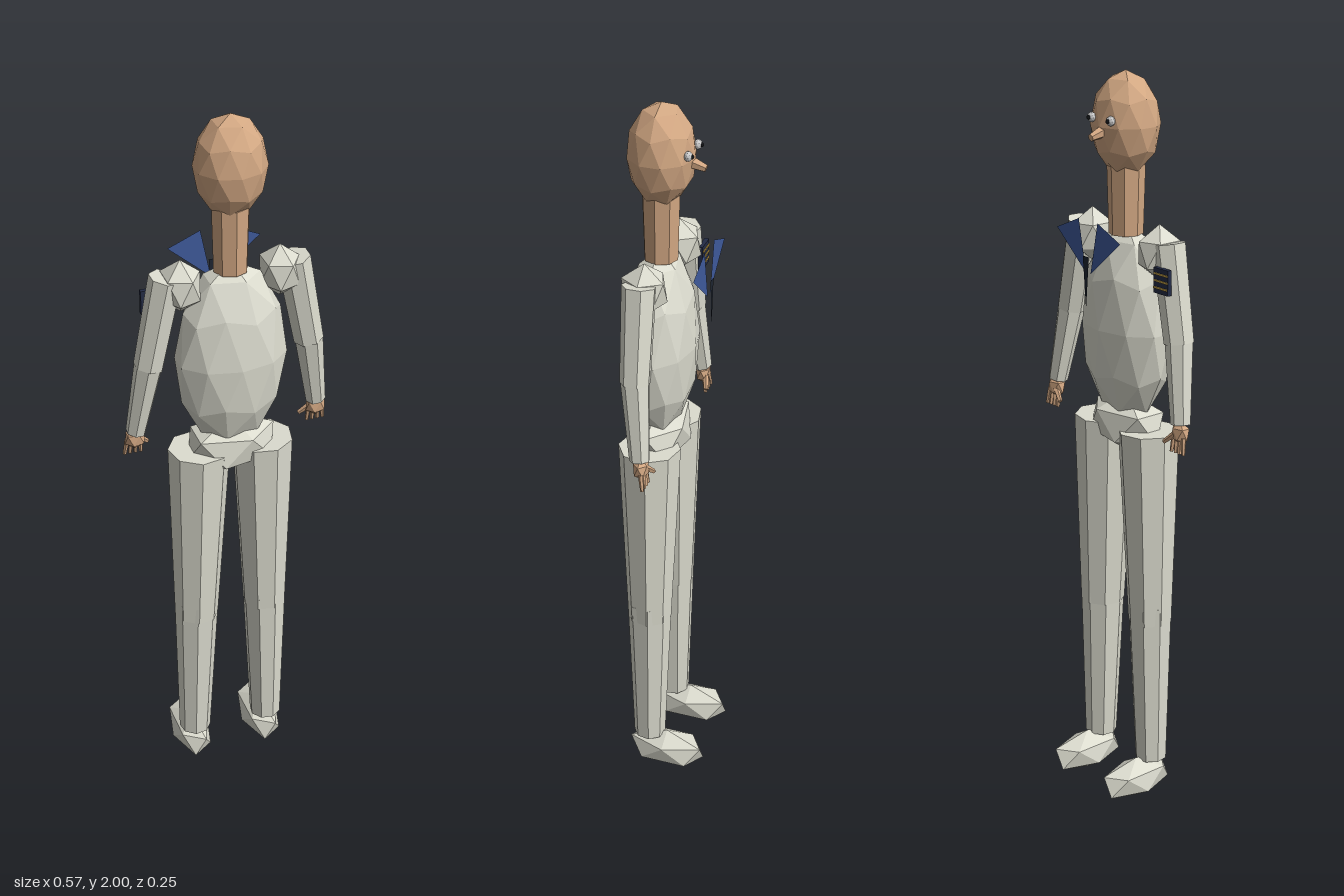
import * as THREE from 'three';

const mat = (color, side = THREE.FrontSide) =>
  new THREE.MeshStandardMaterial({ color, side, flatShading: true });

export function createModel() {
  const model = new THREE.Group();
  model.name = 'figure';
  const cloth = mat(0xdcdccf), skin = mat(0xd3a883), navy = mat(0x232b45);
  const blue = mat(0x3f5a9c, THREE.DoubleSide), dark = mat(0x1d2430, THREE.DoubleSide);
  const gold = mat(0xc9a54a), white = mat(0xd8d8d8), black = mat(0x15171a);

  const add = (name, geometry, material, parent = model) => {
    const mesh = new THREE.Mesh(geometry, material);
    mesh.name = name;
    parent.add(mesh);
    return mesh;
  };

  // Faceted ball with a pole on y and an upper ring corner toward +x
  const ball = (name, pos, radii, detail, material, parent) => {
    const g = new THREE.IcosahedronGeometry(1, detail);
    g.rotateX(-Math.atan((1 + Math.sqrt(5)) / 2)).rotateY(Math.PI / 2);
    g.scale(...radii).translate(...pos);
    return add(name, g, material, parent);
  };

  // Tapered limb between two points
  const limb = (name, from, to, rFrom, rTo, sides, material, parent) => {
    const a = new THREE.Vector3(...from), b = new THREE.Vector3(...to);
    const dir = b.clone().sub(a);
    const mesh = add(name, new THREE.CylinderGeometry(rTo, rFrom, dir.length(), sides), material, parent);
    mesh.position.copy(a).add(b).multiplyScalar(0.5);
    mesh.quaternion.setFromUnitVectors(new THREE.Vector3(0, 1, 0), dir.normalize());
    return mesh;
  };

  // Flat triangle at one depth
  const flat = (name, corners, z, material) => {
    const shape = new THREE.Shape(corners.map(([x, y]) => new THREE.Vector2(x, y)));
    add(name, new THREE.ShapeGeometry(shape), material).position.z = z;
  };

  // Head, neck and trunk
  ball('head', [0, 1.865, 0.025], [0.094, 0.135, 0.088], 1, skin);
  limb('neck', [0, 1.58, 0.027], [0, 1.76, 0.027], 0.045, 0.05, 8, skin);
  ball('torso', [0, 1.335, 0.03], [0.15, 0.27, 0.097], 1, cloth);
  ball('pelvis', [0, 1.068, 0.03], [0.134, 0.083, 0.086], 0, cloth);

  // Nose pointing out of the face
  limb('nose', [0, 1.855, -0.045], [0, 1.842, -0.09], 0.018, 0.01, 6, skin);

  for (const s of [1, -1]) {
    const side = s > 0 ? 'left' : 'right';

    // Eye
    ball(side + 'Eye', [s * 0.037, 1.885, -0.056], [0.013, 0.013, 0.011], 1, white);
    ball(side + 'Pupil', [s * 0.037, 1.885, -0.066], [0.006, 0.006, 0.005], 1, black);

    // Collar flap
    flat(side + 'Collar', [[s * 0.009, 1.494], [s * 0.037, 1.632], [s * 0.125, 1.594]], -0.1, blue);

    // Arm
    const arm = new THREE.Group();
    arm.name = side + 'Arm';
    model.add(arm);
    ball('shoulder', [s * 0.132, 1.555, 0.025], [0.058, 0.073, 0.065], 0, cloth, arm);
    limb('upperArm', [s * 0.168, 1.585, 0.025], [s * 0.217, 1.335, 0.02], 0.045, 0.04, 7, cloth, arm);
    limb('forearm', [s * 0.217, 1.34, 0.02], [s * 0.25, 1.13, -0.002], 0.038, 0.027, 7, cloth, arm);

    // Hand with four fingers and a thumb
    const hand = new THREE.Group();
    hand.name = side + 'Hand';
    arm.add(hand);
    ball('palm', [s * 0.252, 1.108, -0.006], [0.03, 0.032, 0.022], 0, skin, hand);
    for (let i = 0; i < 4; i++) {
      const x = s * (0.236 + i * 0.012);
      limb('finger', [x, 1.1, -0.012], [x + s * (i - 1) * 0.003, 1.056, -0.018], 0.007, 0.005, 5, skin, hand);
    }
    limb('thumb', [s * 0.242, 1.105, -0.015], [s * 0.212, 1.078, -0.026], 0.009, 0.006, 5, skin, hand);

    // Leg
    const leg = new THREE.Group();
    leg.name = side + 'Leg';
    model.add(leg);
    limb('thigh', [s * 0.088, 1.065, 0.03], [s * 0.099, 0.52, 0.029], 0.083, 0.06, 8, cloth, leg);
    limb('shin', [s * 0.0985, 0.57, 0.029], [s * 0.107, 0.105, 0.028], 0.061, 0.044, 8, cloth, leg);
    ball('foot', [s * 0.106, 0.058, -0.024], [0.058, 0.058, 0.122], 0, cloth, leg);
  }

  // Narrow tie below the collar
  flat('tie', [[-0.012, 1.54], [0.012, 1.54], [0, 1.4]], -0.108, dark);

  // Chest badge with stripes
  add('badge', new THREE.BoxGeometry(0.054, 0.066, 0.012), navy).position.set(-0.196, 1.5, -0.021);
  for (const dy of [-0.018, 0, 0.018]) {
    add('badgeStripe', new THREE.BoxGeometry(0.05, 0.005, 0.003), gold).position.set(-0.196, 1.5 + dy, -0.028);
  }
  return model;
}
